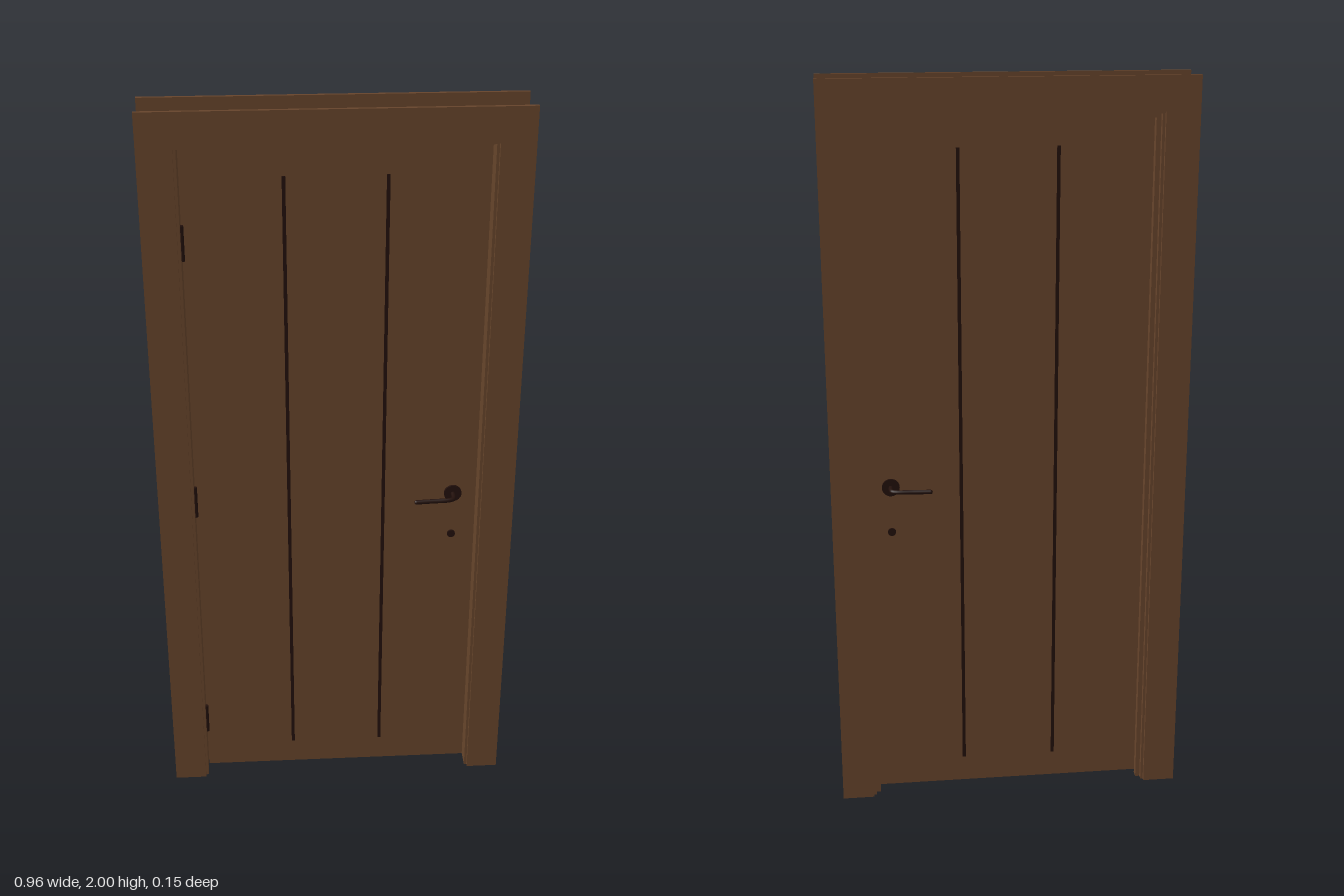
import * as THREE from 'three';

const wood = new THREE.MeshStandardMaterial({ color: 0x66442b });
wood.name = 'brown wood';
const dark = new THREE.MeshStandardMaterial({ color: 0x22100b });
dark.name = 'dark bronze';

const DOOR_HALF = 0.02; // half thickness of the leaf

function add(parent, name, geometry, material, x = 0, y = 0, z = 0) {
  const mesh = new THREE.Mesh(geometry, material);
  mesh.name = name;
  mesh.position.set(x, y, z);
  parent.add(mesh);
  return mesh;
}

// Upside-down U profile standing on the floor, extruded from z0 to z1
function portal(outX, outY, inX, inY, z0, z1) {
  const shape = new THREE.Shape([
    [-outX, 0], [-inX, 0], [-inX, inY], [inX, inY],
    [inX, 0], [outX, 0], [outX, outY], [-outX, outY],
  ].map(([x, y]) => new THREE.Vector2(x, y)));
  const g = new THREE.ExtrudeGeometry(shape, { depth: z1 - z0, bevelEnabled: false });
  return g.translate(0, 0, z0);
}

// Rosette, neck and lever, built outward along +z from the leaf surface
function makeHandle(name) {
  const handle = new THREE.Group();
  handle.name = name;
  add(handle, 'rosette', new THREE.CylinderGeometry(0.024, 0.024, 0.006, 32).rotateX(Math.PI / 2),
    dark, 0, 0, DOOR_HALF + 0.003);
  const path = new THREE.CatmullRomCurve3([
    [0, 0, DOOR_HALF], [0, 0, 0.046], [-0.003, 0, 0.056], [-0.014, 0, 0.061], [-0.06, 0, 0.064], [-0.104, 0, 0.067],
  ].map((p) => new THREE.Vector3(...p)));
  add(handle, 'lever', new THREE.TubeGeometry(path, 40, 0.006, 12), dark);
  add(handle, 'leverTip', new THREE.SphereGeometry(0.006, 12, 8), dark, -0.104, 0, 0.067);
  return handle;
}

export function createModel() {
  const model = new THREE.Group();
  model.name = 'door';

  // Frame: lining, stop strip and a casing on each face
  const frame = new THREE.Group();
  frame.name = 'frame';
  model.add(frame);
  add(frame, 'lining', portal(0.413, 1.935, 0.383, 1.906, -0.058, 0.058), wood);
  add(frame, 'stop', portal(0.383, 1.906, 0.371, 1.894, -0.043, -DOOR_HALF - 0.001), wood);
  add(frame, 'frontCasing', portal(0.478, 2, 0.39, 1.912, 0.058, 0.068), wood);
  add(frame, 'backCasing', portal(0.478, 2, 0.39, 1.912, -0.068, -0.058), wood);

  // Leaf
  add(model, 'leaf', new THREE.BoxGeometry(0.762, 1.893, DOOR_HALF * 2), wood, 0, 0.01 + 1.893 / 2, 0);

  // Details repeated on both faces
  for (const side of [1, -1]) {
    const label = side > 0 ? 'front' : 'back';
    for (const x of [-0.128, 0.128]) {
      add(model, label + 'Groove', new THREE.BoxGeometry(0.009, 1.74, 0.001), dark,
        x, 0.955, side * (DOOR_HALF + 0.0003));
    }
    const handle = makeHandle(label + 'Handle');
    handle.position.set(0.318, 0.925, 0);
    if (side < 0) handle.rotation.x = Math.PI;
    model.add(handle);
    add(model, label + 'Keyhole', new THREE.CylinderGeometry(0.011, 0.011, 0.005, 20).rotateX(Math.PI / 2),
      dark, 0.318, 0.796, side * (DOOR_HALF + 0.0025));
  }

  // Hinges on the front edge
  for (const y of [0.185, 0.922, 1.66]) {
    add(model, 'hinge', new THREE.CylinderGeometry(0.006, 0.006, 0.092, 14), dark, -0.381, y, DOOR_HALF + 0.004);
  }
  return model;
}
